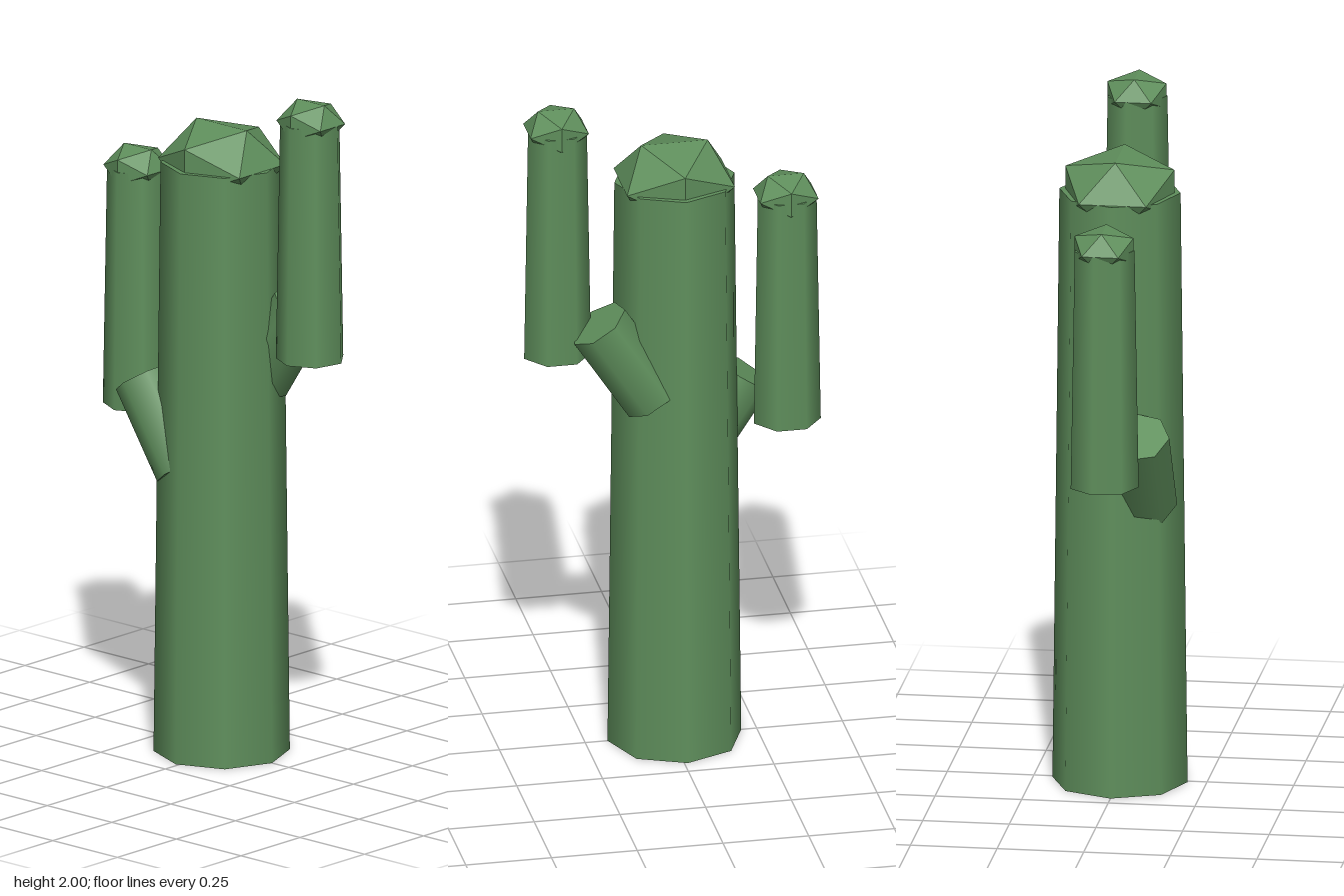
import * as THREE from 'three';

export function createModel() {
  const model = new THREE.Group();
  const skin = new THREE.MeshStandardMaterial({ color: 0x5f8f5c });
  const facetedSkin = new THREE.MeshStandardMaterial({ color: 0x5f8f5c, flatShading: true });

  function add(name, geometry, material, x, y, z) {
    const mesh = new THREE.Mesh(geometry, material);
    mesh.name = name;
    mesh.position.set(x, y, z);
    model.add(mesh);
    return mesh;
  }

  // Upright tapered stem with a squashed faceted cap centred on its top
  function addStem(name, x, base, top, rTop, rBase, sides, rCap) {
    const height = top - base;
    add(name, new THREE.CylinderGeometry(rTop, rBase, height, sides), skin, x, base + height / 2, 0);
    add(name + 'Cap', new THREE.IcosahedronGeometry(rCap, 0), facetedSkin, x, top, 0).scale.y = 0.7;
  }

  addStem('trunk', -0.01, 0, 1.755, 0.175, 0.195, 8, 0.185);

  // One raised arm per side, joined to the trunk by a tilted stub
  const arms = [
    { name: 'right', side: -1, base: 0.97, stubX: 0.153 },
    { name: 'left', side: 1, base: 1.235, stubX: 0.149 },
  ];
  for (const { name, side, base, stubX } of arms) {
    addStem(name + 'Arm', side * 0.335, base, base + 0.705, 0.088, 0.1, 7, 0.1);
    const stub = add(name + 'ArmJoint', new THREE.CylinderGeometry(0.09, 0.09, 0.29, 7), skin,
      side * stubX, base - 0.003, side * -0.084);
    stub.rotation.z = side * -0.58;
  }

  return model;
}
